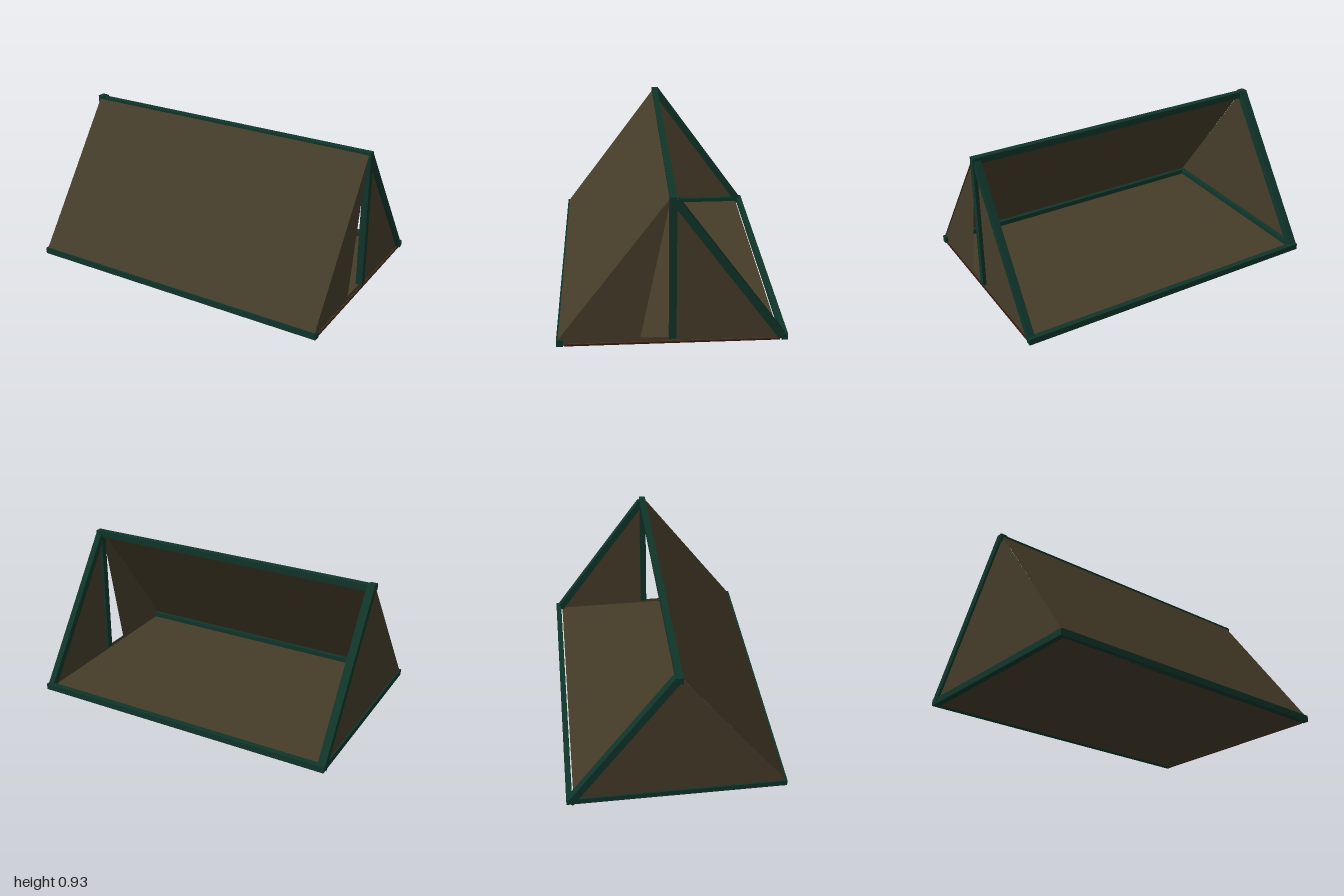
import * as THREE from 'three';

export function createModel() {
  const tent = new THREE.Group();
  tent.name = 'tent';

  const canvas = new THREE.MeshStandardMaterial({ color: 0x453c29, side: THREE.DoubleSide });
  canvas.name = 'olive canvas';
  const pole = new THREE.MeshStandardMaterial({ color: 0x10352a });
  pole.name = 'dark green pole';
  const hem = new THREE.MeshStandardMaterial({ color: 0x35180f });
  hem.name = 'dark red hem';

  const add = (name, geometry, material) => {
    const mesh = new THREE.Mesh(geometry, material);
    mesh.name = name;
    tent.add(mesh);
    return mesh;
  };

  // Box given by its lower and upper corners
  const box = (name, a, b, material) => {
    const g = new THREE.BoxGeometry(b[0] - a[0], b[1] - a[1], b[2] - a[2]);
    g.translate((a[0] + b[0]) / 2, (a[1] + b[1]) / 2, (a[2] + b[2]) / 2);
    return add(name, g, material);
  };

  // Flat sheet outlined by (z, y) points, standing at a given x
  const endSheet = (name, x, points, hole) => {
    const shape = new THREE.Shape(points.map(p => new THREE.Vector2(...p)));
    if (hole) shape.holes.push(new THREE.Path(hole.map(p => new THREE.Vector2(...p))));
    const g = new THREE.ShapeGeometry(shape);
    g.rotateY(-Math.PI / 2).translate(x, 0, 0);
    return add(name, g, canvas);
  };

  // Square bar sloping from the back rail up to the ridge
  const slopeBar = (name, x, width, foot, top) => {
    const dy = top[1] - foot[1], dz = top[0] - foot[0];
    const g = new THREE.BoxGeometry(width, Math.hypot(dy, dz), 0.045);
    g.rotateX(Math.atan2(dz, dy));
    g.translate(x, (top[1] + foot[1]) / 2, (top[0] + foot[0]) / 2);
    return add(name, g, pole);
  };

  // Frame
  box('ridgePole', [-0.99, 0.885, -0.02], [0.995, 0.926, 0.02], pole);
  box('frontRail', [-0.995, 0.012, 0.625], [0.995, 0.052, 0.665], pole);
  box('backRail', [-0.995, 0.012, -0.665], [0.995, 0.052, -0.63], pole);
  box('rightEndRail', [-0.995, 0.012, -0.65], [-0.955, 0.05, 0.65], pole);
  box('doorPole', [0.957, 0.045, -0.021], [0.998, 0.926, 0.021], pole);
  slopeBar('rightBackPole', -0.974, 0.048, [-0.645, 0.018], [-0.004, 0.922]);
  slopeBar('leftBackPole', 0.972, 0.04, [-0.635, 0.03], [-0.012, 0.9]);
  box('ridgeJoint', [-1, 0.89, -0.02], [-0.955, 0.932, 0.02], pole);

  // Sloping front wall
  const wallHeight = 0.868, wallRun = 0.641;
  const wall = new THREE.PlaneGeometry(1.97, Math.hypot(wallHeight, wallRun));
  wall.rotateX(-Math.atan2(wallRun, wallHeight));
  wall.translate(0, 0.046 + wallHeight / 2, 0.018 + wallRun / 2);
  add('frontWall', wall, canvas);

  // Floor and the hem along its open end
  box('floor', [-0.98, 0.012, -0.622], [0.98, 0.02, 0.645], canvas);
  box('floorHem', [0.98, 0.01, -0.62], [0.988, 0.018, 0.62], hem);

  // End walls, one closed and one with a narrow door gap
  const end = [[0.66, 0.014], [0.66, 0.046], [0.012, 0.92], [-0.012, 0.92], [-0.64, 0.046], [-0.64, 0.014]];
  endSheet('rightEndWall', -0.985, end);
  endSheet('leftEndWall', 0.976, end, [[0.015, 0.045], [0.185, 0.045], [0.018, 0.885]]);

  return tent;
}
